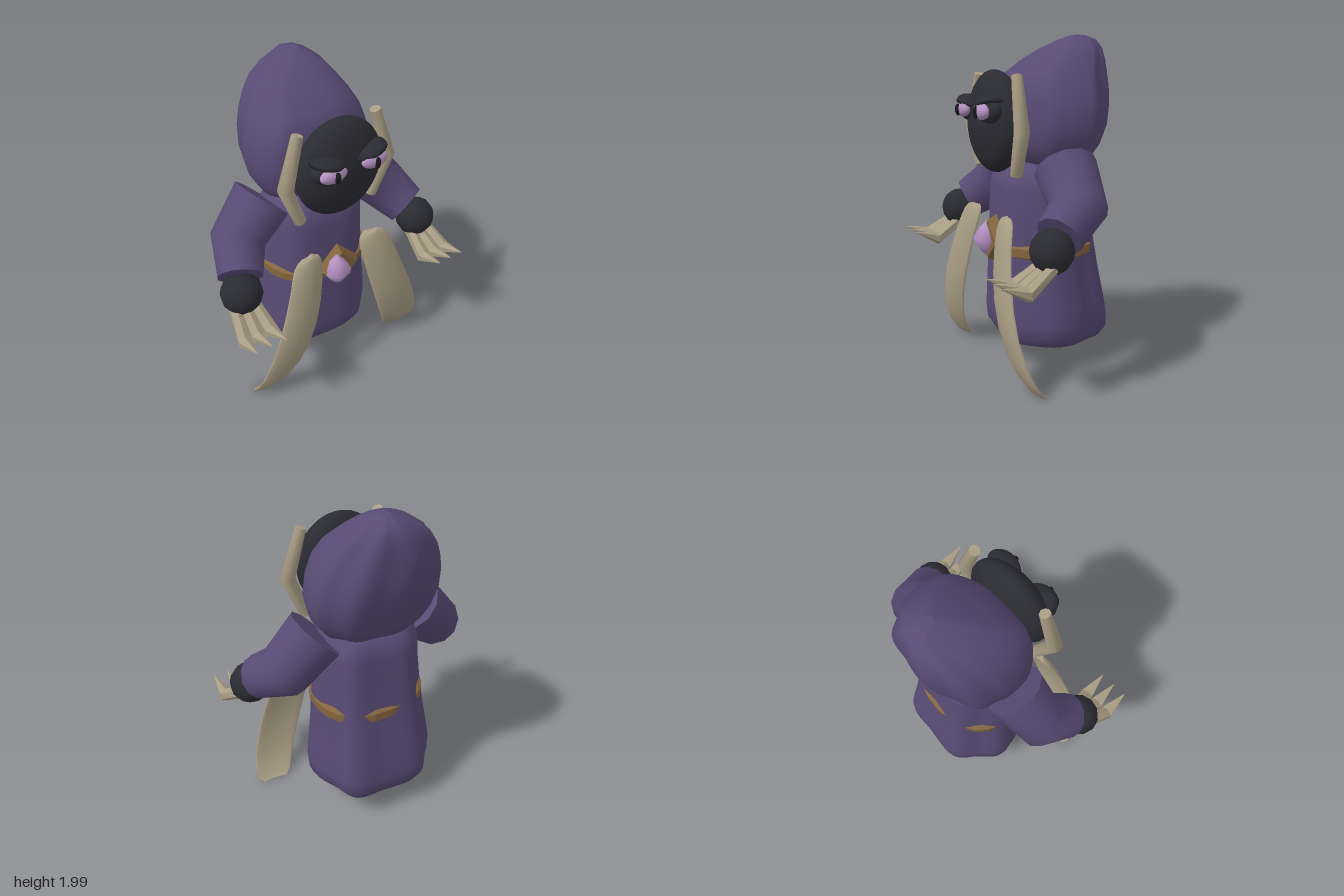
import * as THREE from 'three';

const mat = (name, color) => {
  const m = new THREE.MeshStandardMaterial({ color });
  m.name = name;
  return m;
};
const V = (x, y, z) => new THREE.Vector3(x, y, z);

// Skin a stack of closed rings; both ends get a flat cap with a crisp edge.
function loft(rings) {
  const n = rings[0].length;
  const fan = (r) => {
    const c = r.reduce((s, p) => s.add(p), V(0, 0, 0)).divideScalar(n);
    return r.map(() => c);
  };
  const first = rings[0], last = rings[rings.length - 1];
  const rows = [fan(first), first, ...rings, last, fan(last)];
  const pos = [], idx = [];
  rows.forEach((row) => row.forEach((p) => pos.push(p.x, p.y, p.z)));
  for (let j = 0; j < rows.length - 1; j++) {
    if (j === 1 || j === rows.length - 3) continue; // hard edge of a cap
    for (let i = 0; i < n; i++) {
      const a = j * n + i, b = j * n + (i + 1) % n;
      idx.push(a, a + n, b, b, a + n, b + n);
    }
  }
  const g = new THREE.BufferGeometry();
  g.setAttribute('position', new THREE.Float32BufferAttribute(pos, 3));
  g.setIndex(idx);
  g.computeVertexNormals();
  return g;
}

// Horizontal ring from its extents. corners: squareness of each quadrant
// (front left, front right, back right, back left); fold(angle) makes pleats.
function ring([y, xl, xr, zf, zb], n, corners, fold = () => 1) {
  return Array.from({ length: n }, (_, i) => {
    const t = (i / n) * Math.PI * 2, f = fold(t), power = corners[Math.floor((i / n) * 4)];
    const bend = (v) => Math.sign(v) * Math.abs(v) ** power;
    return V(
      (xl + xr) / 2 + ((xr - xl) / 2) * f * bend(Math.cos(t)), y,
      (zf + zb) / 2 + ((zf - zb) / 2) * f * bend(Math.sin(t)));
  });
}

// Straight-sided tube through points [x, y, z, radius].
function limb(path, n) {
  const pts = path.map((p) => V(p[0], p[1], p[2]));
  return loft(path.map((p, k) => {
    const T = V(0, 0, 0);
    if (k > 0) T.add(pts[k].clone().sub(pts[k - 1]).normalize());
    if (k < pts.length - 1) T.add(pts[k + 1].clone().sub(pts[k]).normalize());
    T.normalize();
    const A = V(1, 0, 0).cross(T).normalize(), B = A.clone().cross(T);
    return Array.from({ length: n }, (_, i) => {
      const t = (i / n) * Math.PI * 2;
      return pts[k].clone().addScaledVector(A, p[3] * Math.cos(t)).addScaledVector(B, p[3] * Math.sin(t));
    });
  }));
}

function ellipsoid(x, y, z, rx, ry, rz, w = 24, h = 16) {
  return new THREE.SphereGeometry(1, w, h).scale(rx, ry, rz).translate(x, y, z);
}

const lathe = (points, n) => new THREE.LatheGeometry(points.map((p) => new THREE.Vector2(...p)), n);

function flat(g) {
  const f = g.toNonIndexed();
  f.computeVertexNormals();
  return f;
}

function mirrored(g) {
  const m = g.clone().scale(-1, 1, 1), ix = m.index.array;
  for (let i = 0; i < ix.length; i += 3) [ix[i], ix[i + 1]] = [ix[i + 1], ix[i]];
  return m;
}

export function createModel() {
  const model = new THREE.Group();
  model.name = 'hoodedFigure';
  const purple = mat('purpleCloth', 0x574b74);
  const dark = mat('darkSkin', 0x2b2c32);
  const bone = mat('bone', 0xa99d84);
  const brown = mat('brownLeather', 0x84653f);
  const pink = mat('pinkGem', 0xb592c2);
  const black = mat('pupilBlack', 0x17171b);

  const add = (name, geo, material, faceted = false) => {
    const mesh = new THREE.Mesh(faceted ? flat(geo) : geo, material);
    mesh.name = name;
    model.add(mesh);
  };
  const pair = (name, geo, material, faceted) => {
    add(name + 'Left', geo, material, faceted);
    add(name + 'Right', mirrored(geo), material, faceted);
  };

  // Robe: pleated bell, deeper pleats at the back
  const robe = [
    [0.09, 0.03, -0.14, -0.2], [0.12, 0.2, 0.07, -0.37], [0.16, 0.34, 0.15, -0.455],
    [0.22, 0.385, 0.188, -0.488], [0.3, 0.39, 0.195, -0.487], [0.4, 0.378, 0.193, -0.472],
    [0.6, 0.35, 0.188, -0.432], [0.78, 0.332, 0.182, -0.4], [0.95, 0.32, 0.178, -0.376],
    [1.1, 0.313, 0.173, -0.366], [1.19, 0.295, 0.15, -0.345], [1.235, 0.23, 0.09, -0.29], [1.25, 0.05, -0.06, -0.14]];
  const soft = [0.85, 0.85, 0.85, 0.85];
  const pleat = (t) => 1 - (Math.sin(t) < 0 ? 0.05 : 0.025) * Math.cos(6 * t + 2.1);
  add('robe', loft(robe.map(([y, r, f, b]) => ring([y, -r, r, f, b], 72, soft, pleat))), purple);

  // Hood: lopsided, draped back to a broad crown
  const hood = [
    [1.235, -0.22, 0.22, -0.02, -0.3], [1.27, -0.305, 0.305, 0.04, -0.37], [1.36, -0.355, 0.375, 0.085, -0.42],
    [1.48, -0.38, 0.405, 0.098, -0.46], [1.6, -0.37, 0.385, 0.1, -0.485], [1.7, -0.34, 0.345, 0.09, -0.498],
    [1.78, -0.3, 0.3, 0.04, -0.5], [1.86, -0.235, 0.25, -0.06, -0.495], [1.92, -0.15, 0.205, -0.145, -0.48],
    [1.97, -0.04, 0.14, -0.23, -0.45], [1.997, 0.02, 0.08, -0.3, -0.38]];
  const drape = (t) => 1 + (Math.sin(t) < -0.1 ? 0.035 : 0.01) * Math.cos(8 * (t + 1.7));
  add('hood', loft(hood.map((r) => ring(r, 64, [0.8, 0.55, 0.92, 0.92], drape))), purple);

  // Face and the bone guards framing it
  add('face', ellipsoid(0, 1.497, 0.193, 0.28, 0.3, 0.13, 28, 18), dark);
  pair('faceGuard', limb([
    [0.255, 1.768, 0.175, 0.033], [0.347, 1.465, 0.19, 0.047], [0.247, 1.21, 0.175, 0.037]], 8), bone);

  // Eyes with slanted lids
  pair('eyeSocket', ellipsoid(0.14, 1.565, 0.285, 0.105, 0.07, 0.06), dark);
  pair('eye', ellipsoid(0.137, 1.567, 0.338, 0.086, 0.047, 0.036), pink);
  pair('pupil', ellipsoid(0.133, 1.563, 0.37, 0.018, 0.036, 0.018, 12, 8), black);
  const lid = lathe([[0, 0], [1, 0], [0.93, 0.4], [0.7, 0.75], [0.4, 0.93], [0, 1]], 24);
  lid.scale(0.11, 0.045, 0.082).rotateZ(0.22).translate(0.138, 1.602, 0.285);
  pair('eyelid', lid, dark);

  // Arms: bent sleeves, fists and three hooked claws each
  pair('sleeve', limb([
    [0.33, 1.245, -0.097, 0.184], [0.525, 1.045, -0.07, 0.166], [0.615, 0.925, 0.105, 0.134]], 12), purple);
  pair('hand', ellipsoid(0.645, 0.86, 0.163, 0.126, 0.126, 0.122, 12, 8), dark);
  [-1, 0, 1].forEach((k) => pair('claw' + (k + 2), limb([
    [0.65 + k * 0.06, 0.785, 0.19, 0.034], [0.66 + k * 0.085, 0.678, 0.355, 0.044],
    [0.66 + k * 0.092, 0.735, 0.512, 0.002]], 6), bone, true));

  // Front panels: curved strips, hollow behind, sweeping out to the hem [y, inner x, outer x, z]
  const panel = [
    [0.01, 0.455, 0.625, 0.165], [0.03, 0.415, 0.648, 0.19], [0.1, 0.375, 0.637, 0.24], [0.2, 0.33, 0.608, 0.28],
    [0.35, 0.27, 0.557, 0.307], [0.5, 0.222, 0.502, 0.31], [0.65, 0.182, 0.445, 0.295],
    [0.8, 0.152, 0.39, 0.27], [0.88, 0.138, 0.362, 0.25], [0.93, 0.142, 0.338, 0.235],
    [0.955, 0.16, 0.31, 0.225], [0.967, 0.195, 0.275, 0.218]];
  pair('frontPanel', loft(panel.map(([y, a, b, z]) => Array.from({ length: 16 }, (_, i) => {
    const c = Math.cos(i * Math.PI / 8), s = Math.sin(i * Math.PI / 8);
    return V((a + b) / 2 + ((b - a) / 2) * c, y, z + 0.018 * s + 0.02 * (1 - c * c) + 0.008 * c);
  }))), bone);

  // Belt, half sunk between the robe's pleats
  const band = [[0.7, -0.012], [0.715, 0.01], [0.765, 0.01], [0.782, -0.012]];
  add('belt', loft(band.map(([y, o]) => ring([y, -0.338 - o, 0.338 + o, 0.188 + o, -0.398 - o], 24, soft))), brown, true);

  // Buckle with its gem
  add('buckle', new THREE.CylinderGeometry(0.115, 0.15, 0.06, 4)
    .rotateX(Math.PI / 2).translate(0, 0.79, 0.217), brown, true);
  const gem = lathe([[0, -0.115], [0.045, -0.07], [0.088, 0], [0.045, 0.07], [0, 0.115]], 12);
  add('gem', gem.translate(-0.028, 0.787, 0.236), pink);

  return model;
}
